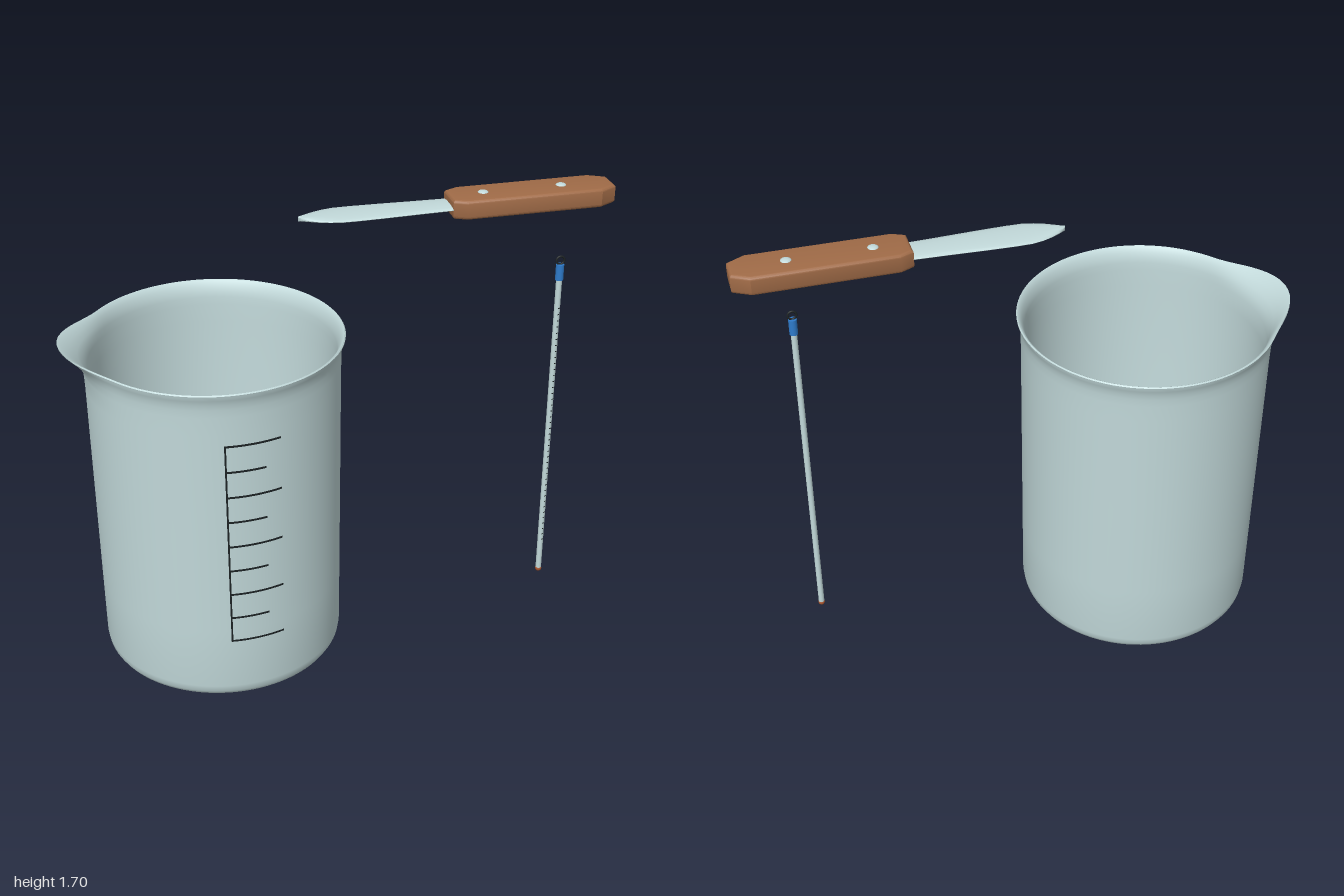
import * as THREE from 'three';
import { toCreasedNormals } from 'three/addons/utils/BufferGeometryUtils.js';

const mat = (name, color, side = THREE.FrontSide) => {
  const m = new THREE.MeshStandardMaterial({ color, side });
  m.name = name;
  return m;
};

export function createModel() {
  const glass = mat('pale glass', 0xc2d9da);
  const wood = mat('brown wood', 0xa06b47);
  const ink = mat('dark ink', 0x1c2224, THREE.DoubleSide);
  const blue = mat('blue cap', 0x2e7bcb);
  const red = mat('red bulb', 0xa8552f);

  const group = (name, parent) => {
    const g = new THREE.Group();
    g.name = name;
    if (parent) parent.add(g);
    return g;
  };
  const add = (parent, name, geo, material, x = 0, y = 0, z = 0) => {
    const m = new THREE.Mesh(geo, material);
    m.name = name;
    m.position.set(x, y, z);
    parent.add(m);
    return m;
  };
  const model = group('labSet');

  // Beaker: one closed profile, outside up and inside down
  const beaker = group('beaker', model);
  beaker.position.x = -0.46;
  const profile = [
    [0, 0], [0.395, 0], [0.415, 0.004], [0.431, 0.014], [0.441, 0.03], [0.445, 0.055],
    [0.447, 0.3], [0.45, 0.7], [0.453, 1.1], [0.454, 1.17], [0.455, 1.2], [0.458, 1.22],
    [0.463, 1.238], [0.469, 1.252], [0.47, 1.258], [0.466, 1.262], [0.46, 1.258],
    [0.45, 1.24], [0.443, 1.22], [0.44, 1.2], [0.439, 1.17], [0.437, 1.1], [0.432, 0.12],
    [0.427, 0.085], [0.415, 0.06], [0.395, 0.04], [0.362, 0.03], [0, 0.03],
  ].map(([r, y]) => new THREE.Vector2(r, y));
  const shell = new THREE.LatheGeometry(profile, 96);

  // Pull the rim out and up into a pouring spout on the -x side
  const p = shell.attributes.position;
  for (let i = 0; i < p.count; i++) {
    const x = p.getX(i), y = p.getY(i), z = p.getZ(i);
    const a = Math.abs(Math.atan2(z, -x));
    if (y < 1.15 || a > 0.66) continue;
    const w = Math.cos((a / 0.66) * Math.PI / 2) ** 2;
    const t = ((y - 1.15) / 0.11) ** 2;
    const r = Math.hypot(x, z);
    const k = (r + 0.07 * w * t) / r;
    p.setXYZ(i, x * k, y + 0.018 * w * t, z * k);
  }
  add(beaker, 'beakerShell', toCreasedNormals(shell, 0.7), glass);

  // Graduation scale wrapped on the front wall
  const scale = group('beakerScale', beaker);
  const wallRadius = (y) => 0.4485 + 0.0075 * y;
  const arc = (name, y, height, from, to) => {
    const r0 = wallRadius(y - height / 2), r1 = wallRadius(y + height / 2);
    add(scale, name, new THREE.CylinderGeometry(r1, r0, height, 12, 1, true, from, to - from), ink, 0, y, 0);
  };
  arc('scaleLine', 0.66, 0.808, -0.106, -0.092);
  for (let i = 0; i < 9; i++) {
    arc('scaleMark', 0.26 + i * 0.1, 0.008, -0.1, i % 2 ? 0.21 : 0.335);
  }

  // Thermometer
  const thermometer = group('thermometer', model);
  thermometer.position.set(0.8, 0, 0.07);
  add(thermometer, 'stem', new THREE.CylinderGeometry(0.011, 0.011, 1.26, 20), glass, 0, 0.74, 0);
  add(thermometer, 'bulb', new THREE.SphereGeometry(0.0125, 20, 12), red, 0, 0.108, 0);
  add(thermometer, 'cap', new THREE.CylinderGeometry(0.015, 0.015, 0.06, 24), blue, 0, 1.39, 0);
  add(thermometer, 'hangingRing', new THREE.TorusGeometry(0.015, 0.004, 10, 28), ink, 0, 1.435, 0);
  for (let i = 0; i <= 40; i++) {
    const to = i % 5 ? 0.5 : 0.8;
    add(thermometer, 'stemMark',
      new THREE.CylinderGeometry(0.0118, 0.0118, 0.004, 6, 1, true, -0.1, to + 0.1), ink, 0, 0.25 + i * 0.025, 0);
  }

  // Knife blade: a round bar flattened and shaped along x
  const knife = group('knife', model);
  const stations = [
    [-0.145, 0.004], [-0.135, 0.014], [-0.115, 0.029], [-0.085, 0.046], [-0.05, 0.06],
    [-0.01, 0.069], [0.05, 0.07], [0.15, 0.067], [0.28, 0.061], [0.42, 0.056],
  ];
  const rows = stations.length - 1;
  const blade = new THREE.CylinderGeometry(1, 1, 1, 32, rows);
  blade.rotateZ(-Math.PI / 2);
  const b = blade.attributes.position;
  for (let i = 0; i < b.count; i++) {
    const [x, halfWidth] = stations[Math.round((b.getX(i) + 0.5) * rows)];
    b.setXYZ(i, x, b.getY(i) * 0.009, b.getZ(i) * halfWidth);
  }
  add(knife, 'blade', toCreasedNormals(blade, 0.9), glass, 0, 1.659, 0);

  // Handle: outline with cut corners and softened edges
  const bevel = 0.012;
  const outline = new THREE.Shape([
    [0.407, -0.048], [0.445, -0.066], [0.935, -0.066], [0.988, -0.037],
    [0.988, 0.037], [0.935, 0.066], [0.445, 0.066], [0.407, 0.048],
  ].map(([x, y]) => new THREE.Vector2(x, y)));
  const handle = new THREE.ExtrudeGeometry(outline, {
    depth: 0.07 - 2 * bevel, bevelEnabled: true, bevelThickness: bevel, bevelSize: bevel, bevelSegments: 4,
  });
  handle.rotateX(-Math.PI / 2);
  add(knife, 'handle', toCreasedNormals(handle, 0.5), wood, 0, 1.625 + bevel, 0);

  // Rivets
  for (const x of [0.52, 0.81]) {
    const rivet = add(knife, 'rivet',
      new THREE.SphereGeometry(0.019, 20, 8, 0, Math.PI * 2, 0, Math.PI / 2), glass, x, 1.694, 0);
    rivet.scale.y = 0.4;
  }
  return model;
}
